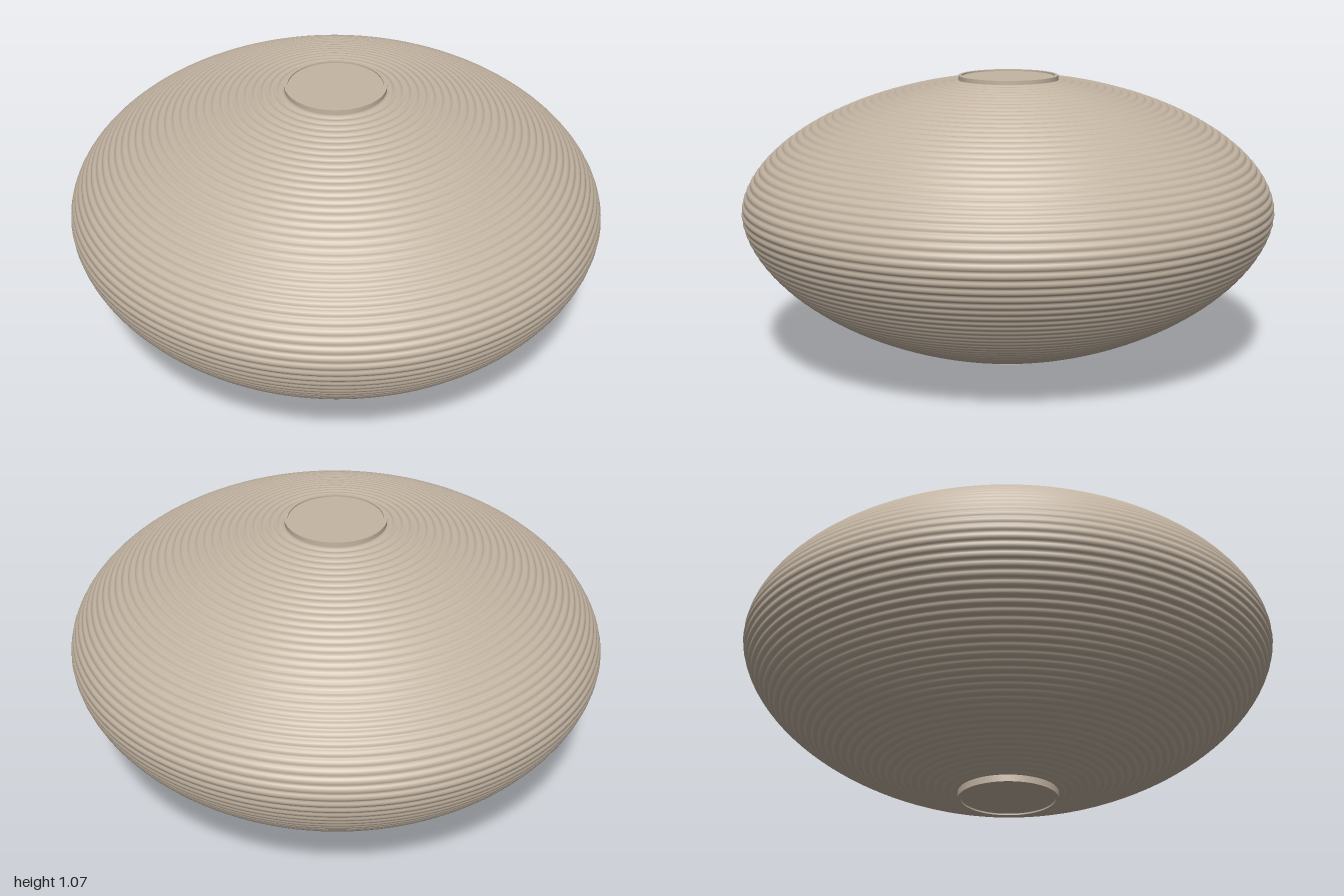
import * as THREE from 'three';
import { toCreasedNormals } from 'three/addons/utils/BufferGeometryUtils.js';

const HEIGHT = 1.07, WAIST = 0.575, RADIUS = 0.996, NECK = 0.186;
const RIBS = 66, STEPS = 6, RIB_DEPTH = 0.006;
// Height and roundness of the two halves: the lower one is deeper and more conical
const UPPER = { rise: 0.492, power: 1.85 };
const LOWER = { rise: -0.568, power: 1.77 };

// Meridian from the bottom neck to the top neck, as two superellipse quarters
class Meridian extends THREE.Curve {
  getPoint(t, target = new THREE.Vector2()) {
    const { rise, power } = t < 0.5 ? LOWER : UPPER;
    const end = Math.acos((NECK / RADIUS) ** (power / 2));
    const angle = Math.abs(2 * t - 1) * end;
    return target.set(
      RADIUS * Math.cos(angle) ** (2 / power),
      WAIST + rise * Math.sin(angle) ** (2 / power),
    );
  }
}

export function createModel() {
  const paper = new THREE.MeshStandardMaterial({ color: 0xc4b5a3 });
  paper.name = 'warm paper';
  const lantern = new THREE.Group();
  lantern.name = 'paperLantern';

  // Shade: evenly spaced ribs pushed out along the meridian's normal
  const meridian = new Meridian();
  meridian.arcLengthDivisions = 1000;
  const count = RIBS * STEPS;
  const profile = [];
  for (let i = 0; i <= count; i++) {
    const point = meridian.getPointAt(i / count);
    const tangent = meridian.getTangentAt(i / count);
    const bulge = Math.abs(Math.sin((i / STEPS) * Math.PI));
    const normal = new THREE.Vector2(tangent.y, -tangent.x);
    profile.push(point.addScaledVector(normal, RIB_DEPTH * (bulge - 0.4)));
  }
  // The shade is slightly narrower from side to side
  const shadeGeometry = new THREE.LatheGeometry(profile, 128).scale(0.99, 1, 1);
  const shade = new THREE.Mesh(shadeGeometry, paper);
  shade.name = 'ribbedShade';
  lantern.add(shade);

  // End rings: a short collar closed by a slightly recessed disc
  const collar = [
    [NECK, 1.035], [NECK, HEIGHT], [NECK - 0.012, HEIGHT], [NECK - 0.012, 1.064], [0, 1.064],
  ].map(([r, y]) => new THREE.Vector2(r, y));
  const mirrored = collar.map((p) => new THREE.Vector2(p.x, HEIGHT - p.y)).reverse();
  for (const [name, points] of [['topRing', collar], ['bottomRing', mirrored]]) {
    const ring = new THREE.Mesh(toCreasedNormals(new THREE.LatheGeometry(points, 96), 0.6), paper);
    ring.name = name;
    lantern.add(ring);
  }

  return lantern;
}
